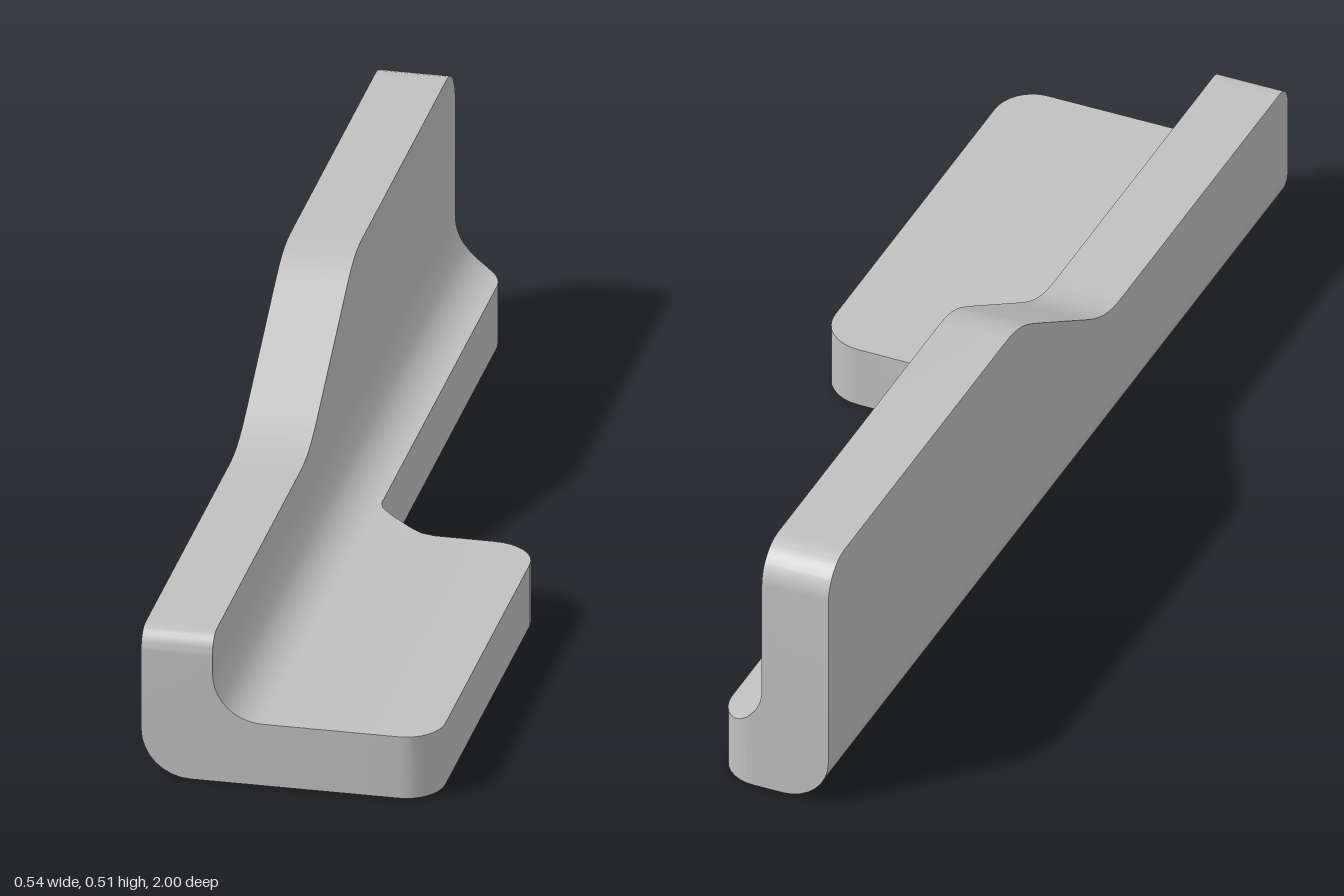
import * as THREE from 'three';
import { toCreasedNormals } from 'three/addons/utils/BufferGeometryUtils.js';

const LEFT = -0.27, INNER = -0.14, FLOOR = 0.12, R = 0.09;

// Quarter curve from p to q, rounding the corner c
function round(p, c, q, n = 8) {
  const o = [p[0] + q[0] - c[0], p[1] + q[1] - c[1]];
  return Array.from({ length: n + 1 }, (_, i) => {
    const a = (i / n) * Math.PI / 2;
    return [0, 1].map(k =>
      +(o[k] + (p[k] - o[k]) * Math.cos(a) + (q[k] - o[k]) * Math.sin(a)).toFixed(5));
  });
}

// Free edge of the floor plate as [z, x]
const floorEdge = [
  ...round([-1, -0.125], [-1, -0.046], [-0.92, -0.046]),
  [0.03, -0.046], [0.05, -0.04], [0.075, -0.02], [0.125, 0.03], [0.14, 0.05], [0.147, 0.075],
  ...round([0.1475, 0.185], [0.1475, 0.268], [0.23, 0.268]),
  ...round([0.925, 0.268], [1, 0.268], [1, 0.2]),
];

// Top edge of the wall as [z, y]
const slope = new THREE.CubicBezierCurve(
  new THREE.Vector2(-0.23, 0.51), new THREE.Vector2(-0.17, 0.51),
  new THREE.Vector2(-0.14, 0.492), new THREE.Vector2(-0.09, 0.462));
const foot = new THREE.CubicBezierCurve(
  new THREE.Vector2(0.14, 0.322), new THREE.Vector2(0.19, 0.294),
  new THREE.Vector2(0.22, 0.282), new THREE.Vector2(0.28, 0.282));
const wallTop = [
  ...round([-1, 0.44], [-1, 0.51], [-0.93, 0.51]),
  ...[slope, foot].flatMap(c => c.getPoints(8).map(p => [p.x, p.y])),
  ...round([0.965, 0.282], [1, 0.282], [1, 0.243]),
];

function sample(line, z) {
  const i = Math.max(1, line.findIndex(p => p[0] >= z));
  const [a, b] = [line[i - 1], line[i]];
  return a[1] + (b[1] - a[1]) * (z - a[0]) / (b[0] - a[0]);
}

// L-shaped cross-section at z, counter-clockwise seen from the front
function section(z) {
  const edge = sample(floorEdge, z), top = sample(wallTop, z);
  const cx = INNER + R, cy = FLOOR + R;
  const filletY = x => x >= cx ? FLOOR : cy - Math.sqrt(Math.max(0, R * R - (x - cx) ** 2));
  const fillet = round([cx, FLOOR], [INNER, FLOOR], [INNER, cy], 10)
    .map(([x]) => Math.min(x, edge)).map(x => [x, filletY(x)]);
  return [
    ...round([LEFT, 0.09], [LEFT, 0], [LEFT + 0.09, 0]),
    [edge, 0], [edge, filletY(edge)], ...fillet, [INNER, top], [LEFT, top],
  ].map(([x, y]) => new THREE.Vector3(x, y, z));
}

function bracketGeometry() {
  const zs = [...new Set([...floorEdge, ...wallTop].map(p => p[0]))].sort((a, b) => a - b);
  const rings = zs.map(section);
  const out = [];
  const tri = (a, b, c) => {
    const area = b.clone().sub(a).cross(c.clone().sub(a)).length();
    if (area > 1e-10) for (const p of [a, b, c]) out.push(p.x, p.y, p.z);
  };
  // Skin between neighbouring sections
  for (let s = 0; s < rings.length - 1; s++) {
    const A = rings[s], B = rings[s + 1];
    A.forEach((p, i) => {
      const j = (i + 1) % A.length;
      tri(p, A[j], B[j]);
      tri(p, B[j], B[i]);
    });
  }
  // Flat ends
  for (const [ring, front] of [[rings[0], false], [rings[rings.length - 1], true]]) {
    const pts = ring.filter((p, i) => i === 0 || p.distanceTo(ring[i - 1]) > 1e-6);
    const flat = pts.map(p => new THREE.Vector2(p.x, p.y));
    for (const [a, b, c] of THREE.ShapeUtils.triangulateShape(flat, [])) {
      if (front) tri(pts[a], pts[b], pts[c]);
      else tri(pts[a], pts[c], pts[b]);
    }
  }
  const g = new THREE.BufferGeometry();
  g.setAttribute('position', new THREE.Float32BufferAttribute(out, 3));
  return toCreasedNormals(g, 0.5);
}

export function createModel() {
  const grey = new THREE.MeshStandardMaterial({ color: 0xc0c0c0 });
  grey.name = 'plain grey';
  const bracket = new THREE.Mesh(bracketGeometry(), grey);
  bracket.name = 'angleBracket';
  const group = new THREE.Group();
  group.name = 'bracket';
  group.add(bracket);
  return group;
}
